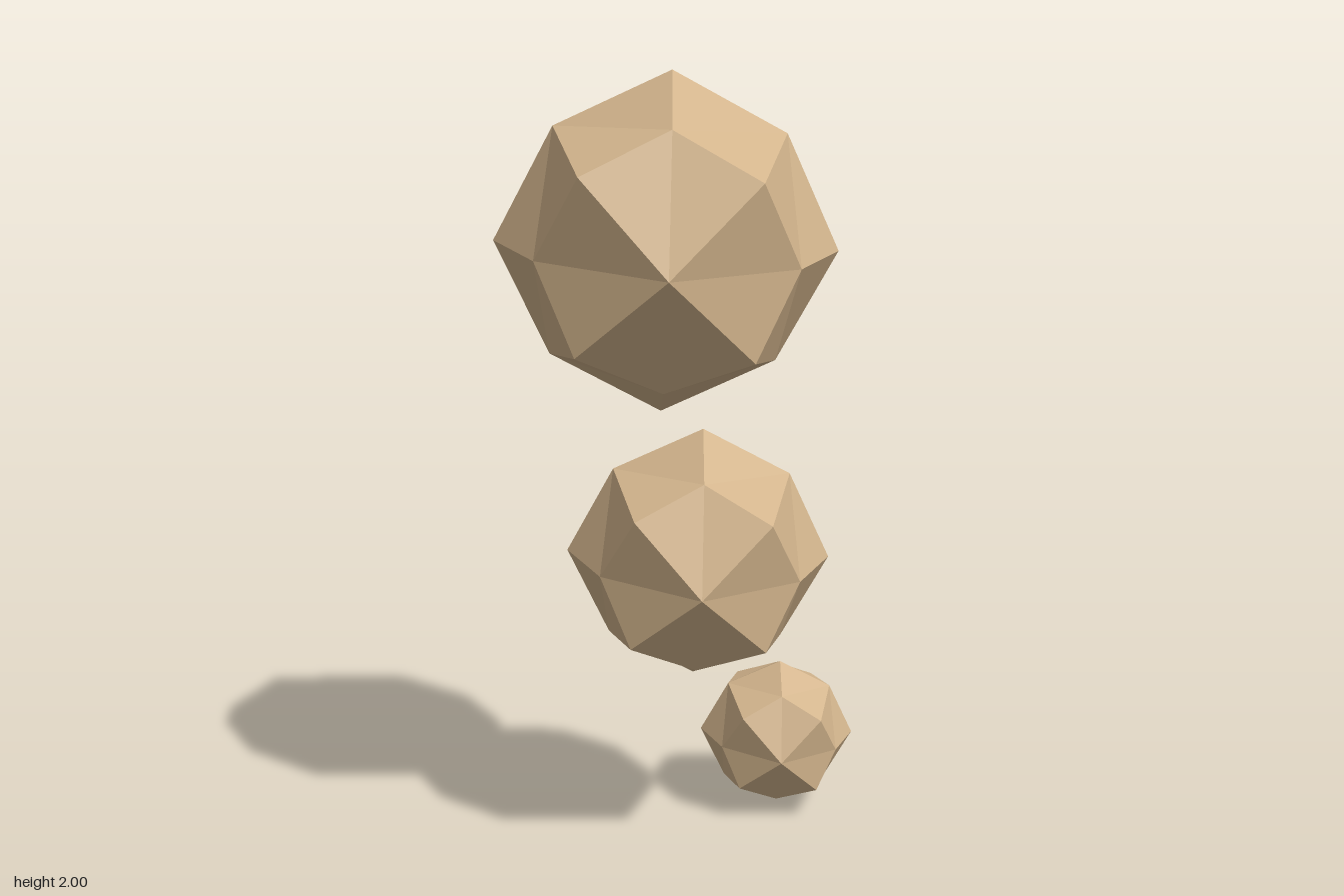
import * as THREE from 'three';

// Once-subdivided cube: raised face centres, edge points and pulled-in corners.
// The edge points lie at radius 1.
function createPebbleGeometry() {
  const k = 1 / (0.75 * Math.SQRT2);
  const pole = k, edge = 0.75 * k, corner = (5 / 9) * k;
  const positions = [];
  const axes = [[1, 0, 0], [0, 1, 0], [0, 0, 1]].map((a) => new THREE.Vector3(...a));
  for (let i = 0; i < 3; i++) {
    for (const sign of [1, -1]) {
      const n = axes[i].clone().multiplyScalar(sign);
      let a = axes[(i + 1) % 3].clone();
      // Four kites around each face centre, each split from centre to corner
      for (let q = 0; q < 4; q++) {
        const b = n.clone().cross(a);
        const p = n.clone().multiplyScalar(pole);
        const ea = n.clone().add(a).multiplyScalar(edge);
        const eb = n.clone().add(b).multiplyScalar(edge);
        const c = n.clone().add(a).add(b).multiplyScalar(corner);
        for (const v of [p, ea, c, p, c, eb]) positions.push(v.x, v.y, v.z);
        a = b;
      }
    }
  }
  const geometry = new THREE.BufferGeometry();
  geometry.setAttribute('position', new THREE.Float32BufferAttribute(positions, 3));
  geometry.computeVertexNormals();
  return geometry;
}

export function createModel() {
  const group = new THREE.Group();
  group.name = 'floatingPebbles';
  const tan = new THREE.MeshStandardMaterial({ color: 0xd2b48c });
  tan.name = 'tan';
  const geometry = createPebbleGeometry();

  // Three pebbles share one tilt and shrink downwards
  const pebbles = [
    ['largePebble', 0.42, -0.025, 1.581, 0.077],
    ['mediumPebble', 0.335, 0.045, 0.787, 0.0],
    ['smallPebble', 0.209, 0.231, 0.208, -0.277],
  ];
  for (const [name, radius, x, y, z] of pebbles) {
    const mesh = new THREE.Mesh(geometry, tan);
    mesh.name = name;
    mesh.scale.setScalar(radius);
    mesh.rotation.set(0.108, 0.151, Math.PI / 4 - 0.05);
    mesh.position.set(x, y, z);
    group.add(mesh);
  }
  return group;
}
